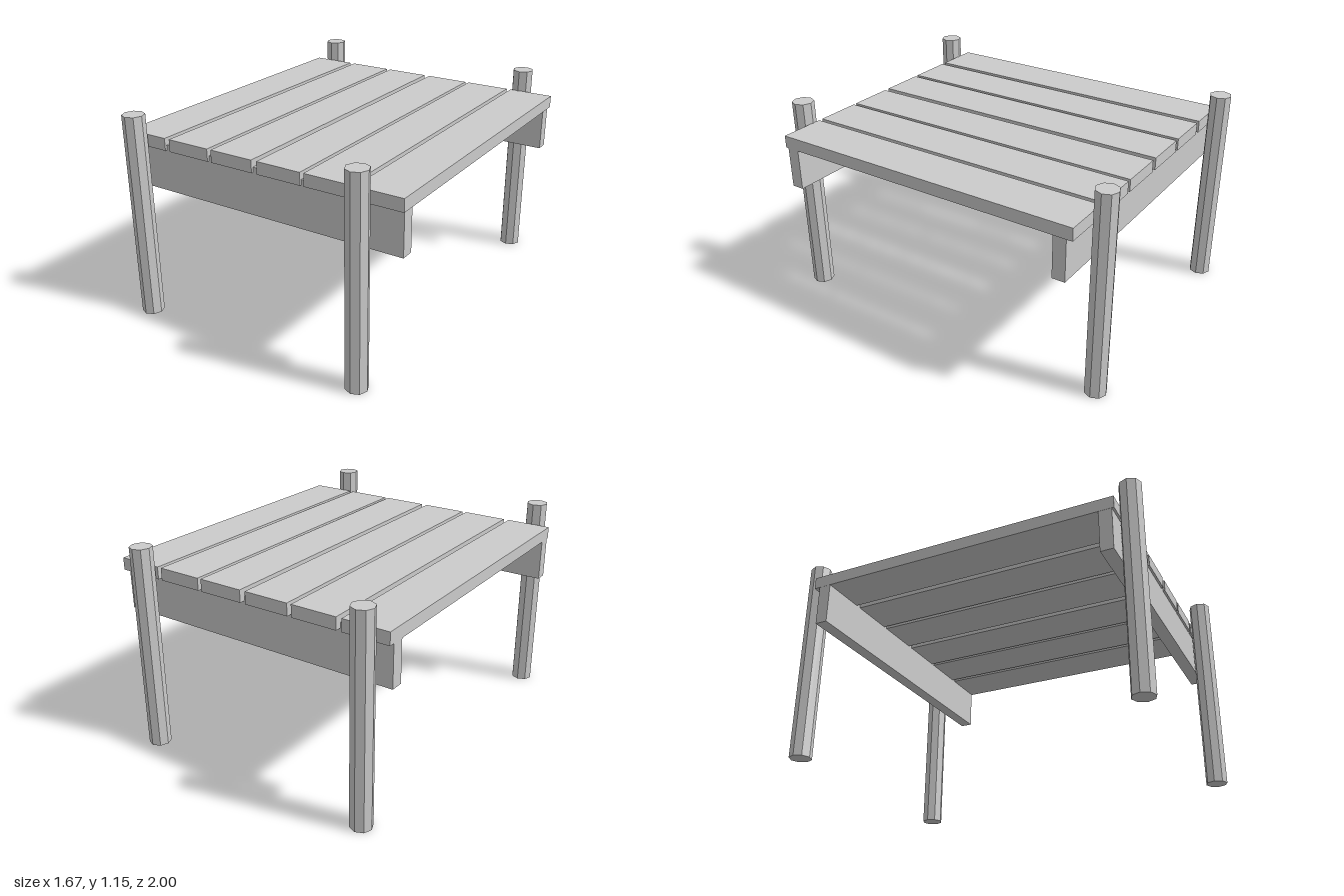
import * as THREE from 'three';

export function createModel() {
  const model = new THREE.Group();
  const material = new THREE.MeshStandardMaterial({ color: 0xcccccc, flatShading: true });

  const add = (name, geometry, x, y, z) => {
    const mesh = new THREE.Mesh(geometry, material);
    mesh.name = name;
    mesh.position.set(x, y, z);
    model.add(mesh);
  };

  // Six deck planks, unevenly spaced, running front to back
  const plank = new THREE.BoxGeometry(0.256, 0.068, 1.772);
  [-0.708, -0.422, -0.142, 0.146, 0.423, 0.703].forEach((x, i) =>
    add(`plank${i + 1}`, plank, x, 0.999, -0.001));

  // Cross rails under the planks, let slightly into them
  const rail = new THREE.BoxGeometry(1.662, 0.258, 0.07);
  add('frontRail', rail, -0.004, 0.864, 0.838);
  add('backRail', rail, -0.004, 0.864, -0.818);

  // Octagonal posts outside the front and back edges
  const post = new THREE.CylinderGeometry(0.06, 0.06, 1.152, 8);
  for (const [end, z] of [['front', 0.94], ['back', -0.94]]) {
    add(`${end}RightPost`, post, -0.73, 0.576, z);
    add(`${end}LeftPost`, post, 0.625, 0.576, z);
  }

  return model;
}
